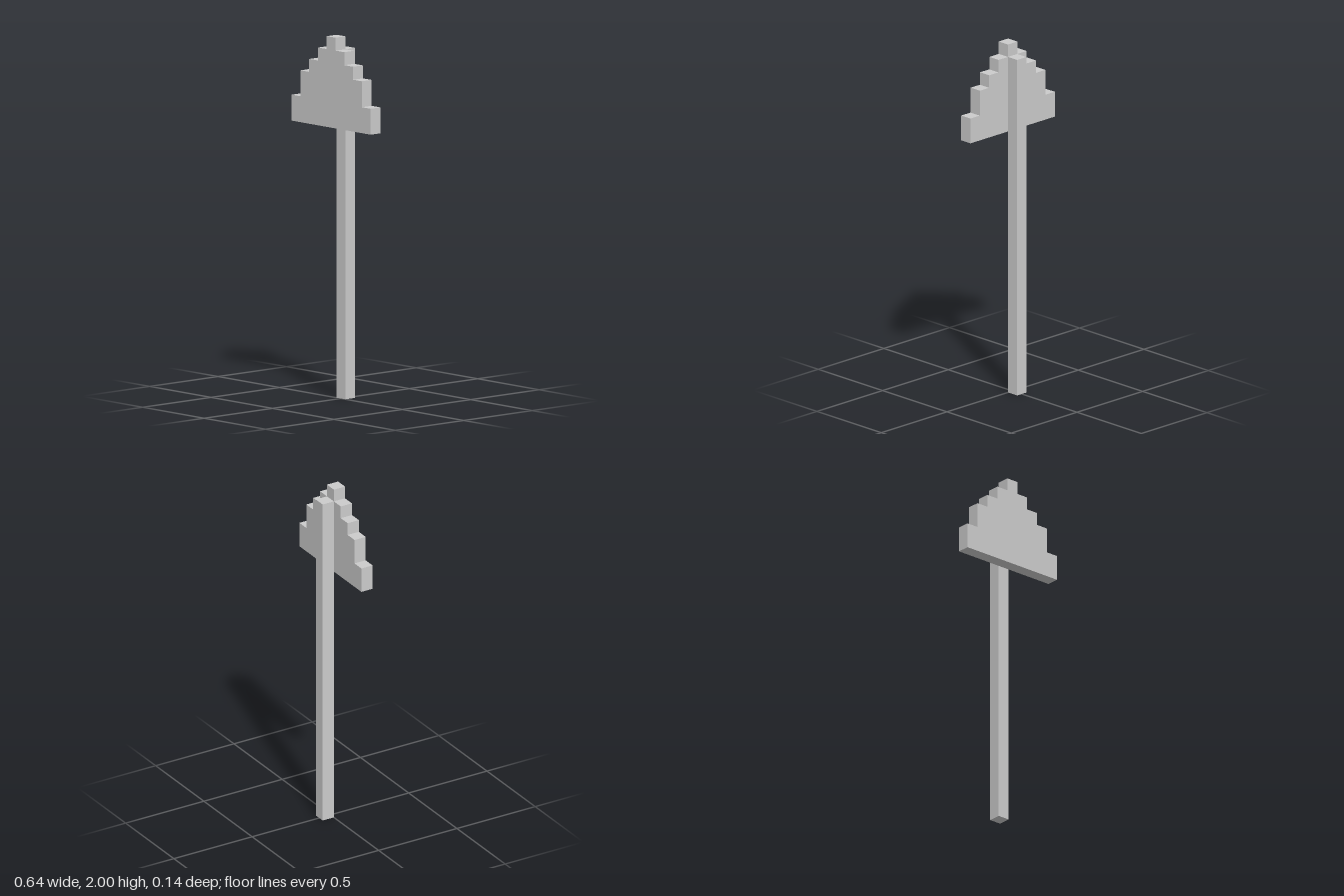
import * as THREE from 'three';

const U = 1 / 14; // one block of the stepped design

export function createModel() {
  const model = new THREE.Group();
  model.name = 'signpost';
  const material = new THREE.MeshStandardMaterial({ color: 0xcccccc, flatShading: true });

  // Square post standing behind the board
  const post = new THREE.Mesh(new THREE.BoxGeometry(U, 27 * U, U), material);
  post.name = 'post';
  post.position.set(0, 13.5 * U, -U / 2);
  model.add(post);

  // Stepped board: [half width, top height] of each tier, in blocks
  const tiers = [[4.5, 23], [3.5, 25], [2.5, 26], [1.5, 27], [0.5, 28]];
  const rightSide = [];
  let y = 21;
  for (const [halfWidth, top] of tiers) {
    rightSide.push([halfWidth, y], [halfWidth, top]);
    y = top;
  }
  const leftSide = rightSide.map(([px, py]) => [-px, py]).reverse();
  const outline = [...rightSide, ...leftSide].map(([px, py]) => new THREE.Vector2(px * U, py * U));
  const board = new THREE.Mesh(
    new THREE.ExtrudeGeometry(new THREE.Shape(outline), { depth: U, bevelEnabled: false }),
    material
  );
  board.name = 'steppedBoard';
  model.add(board);

  return model;
}
